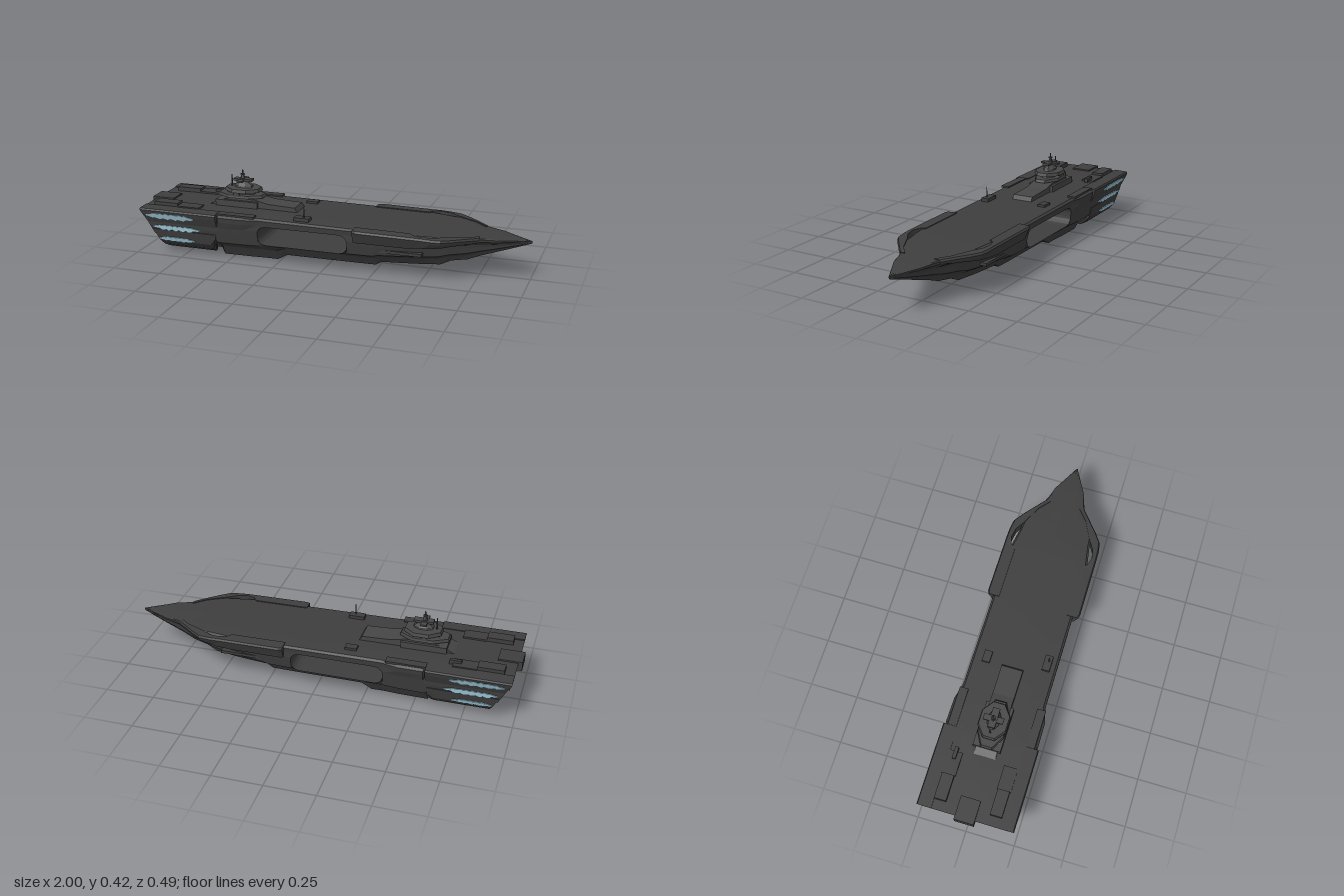
import * as THREE from 'three';

// piecewise-linear lookup in a short table of [key, value]
function look(table, k) {
  if (k <= table[0][0]) return table[0][1];
  for (let i = 1; i < table.length; i++) {
    const [a, va] = table[i - 1], [b, vb] = table[i];
    if (k <= b) return va + (vb - va) * (k - a) / (b - a);
  }
  return table[table.length - 1][1];
}

// stern leans forward toward the keel
const rake = (x, y) => x + Math.min(1, Math.max(0, (-0.72 - x) / 0.26)) * Math.max(0, 0.235 - y) * 0.5;

// skin closed rings of [z, y] placed at stations along x
function loft(stations, ringAt) {
  const pos = [], idx = [];
  const rings = stations.map(x => ringAt(x).map(([z, y]) => [rake(x, y), y, z]));
  const n = rings[0].length;
  rings.forEach(r => r.forEach(p => pos.push(...p)));
  for (let i = 0; i < rings.length - 1; i++) for (let j = 0; j < n; j++) {
    const a = i * n + j, b = i * n + (j + 1) % n;
    idx.push(a, b, a + n, b, b + n, a + n);
  }
  [0, rings.length - 1].forEach((r, end) => {
    const c = pos.length / 3, ring = rings[r];
    pos.push(...[0, 1, 2].map(k => ring.reduce((s, p) => s + p[k], 0) / n));
    for (let j = 0; j < n; j++) {
      const a = r * n + j, b = r * n + (j + 1) % n;
      if (end) idx.push(c, a, b); else idx.push(c, b, a);
    }
  });
  const g = new THREE.BufferGeometry();
  g.setAttribute('position', new THREE.Float32BufferAttribute(pos, 3));
  g.setIndex(idx);
  const flat = g.toNonIndexed();
  flat.computeVertexNormals();
  return flat;
}
const mirrored = half => [...half, ...half.slice(1, -1).reverse().map(([z, y]) => [-z, y])];
// ring on one side: s = 1 or -1
const sided = (ring, s) => s > 0 ? ring : ring.map(([z, y]) => [-z, y]).reverse();

// hull tables along x
const topY = [[-1, 0.24], [-0.6, 0.243], [-0.2, 0.24], [0.5, 0.234], [0.7, 0.226], [0.85, 0.216], [1, 0.2]];
const splitY = [[0.3, 0.1485], [0.62, 0.16], [0.8, 0.172], [1, 0.194]];
const deckW = [[-0.56, 0.222], [-0.55, 0.236], [-0.42, 0.234], [-0.34, 0.214], [0.15, 0.212], [0.46, 0.205],
  [0.58, 0.185], [0.64, 0.182], [0.7, 0.15], [0.77, 0.102], [0.85, 0.08], [0.95, 0.028], [1, 0.002]];
const lowW = [[-0.56, 0.22], [-0.4, 0.215], [-0.34, 0.206], [0.15, 0.205], [0.3, 0.2], [0.45, 0.18],
  [0.6, 0.14], [0.75, 0.085], [0.9, 0.04], [1, 0.002]];
const keelY = [[-0.575, 0.036], [-0.56, 0.002], [-0.27, 0.002], [-0.22, 0.03], [0.25, 0.032], [0.28, 0.05],
  [0.57, 0.06], [0.62, 0.083], [0.71, 0.094], [0.76, 0.115], [1, 0.188]];
// outer flank of the stern, z by height
const flank = [[0.018, 0.14], [0.04, 0.18], [0.07, 0.206], [0.11, 0.217], [0.1485, 0.221], [0.17, 0.222], [0.215, 0.24], [0.24, 0.245]];

// cross-ship bay with rounded corners: half height at x
const BAY0 = -0.345, BAY1 = 0.125, R = 0.04, HALF = 0.0485;
function bay(x) {
  const d = Math.min(x - BAY0, BAY1 - x);
  if (d < 0) return 0;
  return d < R ? HALF - R + Math.sqrt(R * R - (R - d) ** 2) : HALF;
}
const hullX = [-0.98, -0.9, -0.8, -0.72, -0.575, -0.56, -0.55, -0.42, BAY0 - 1e-4, BAY1 + 1e-4, 0.15, 0.25, 0.28, 0.38,
  0.46, 0.52, 0.57, 0.62, 0.64, 0.7, 0.76, 0.8, 0.85, 0.9, 0.95, 1, -0.27, -0.22, -0.1, 0];
for (const t of [0, 0.05, 0.2, 0.5, 1]) hullX.push(BAY0 + R * t, BAY1 - R * t);
hullX.sort((a, b) => a - b);

export function createModel() {
  const root = new THREE.Group();
  const paint = (name, color) => Object.assign(new THREE.MeshStandardMaterial({ color, flatShading: true }), { name });
  const hullGrey = paint('hull grey', 0x3e3e3e);
  const towerGrey = paint('tower grey', 0x464646);
  const glowBlue = paint('pale blue', 0x9cc6d6);

  function add(name, geo, mat = hullGrey, parent = root) {
    const m = new THREE.Mesh(geo, mat);
    m.name = name;
    parent.add(m);
    return m;
  }
  function box(name, x0, x1, y0, y1, z0, z1, mat = hullGrey, parent = root) {
    const m = add(name, new THREE.BoxGeometry(x1 - x0, y1 - y0, z1 - z0), mat, parent);
    m.position.set((x0 + x1) / 2, (y0 + y1) / 2, (z0 + z1) / 2);
    return m;
  }

  // upper hull and flight deck
  add('upperHull', loft(hullX, x => {
    const t = look(topY, x), m = look(splitY, x), b = m + bay(x), w = look(deckW, x), lw = look(lowW, x);
    const y = f => Math.max(b, m + (t - m) * f);
    return mirrored([[0, t], [w * 0.6, t - 0.001], [w * 0.95, t - 0.003], [w, y(0.86)], [w * 0.985, y(0.6)],
      [Math.min(w, lw + 0.004), y(0.25)], [Math.min(w, lw), b], [0, b]]);
  }));

  // lower hull with twin keels and a centre channel
  add('lowerHull', loft(hullX, x => {
    const m = look(splitY, x), t = m - bay(x), w = look(lowW, x), k = look(keelY, x);
    const c = Math.max(k, Math.min(0.05, m)), y = f => Math.min(t, k + (m - k) * f);
    return mirrored([[0, t], [w, t], [w * 0.95, y(0.6)], [w * 0.7, y(0.36)], [w * 0.57, k], [w * 0.34, k], [w * 0.23, c], [0, c]]);
  }));

  const rimOut = [[0.16, 0.238], [0.18, 0.245], [0.54, 0.243], [0.6, 0.234], [0.65, 0.2], [0.7, 0.16], [0.76, 0.112]];
  const rimIn = [[0.44, 0.18], [0.46, 0.205], [0.5, 0.217], [0.55, 0.208], [0.6, 0.178], [0.7, 0.13], [0.76, 0.08]];
  for (const s of [1, -1]) {
    const side = s > 0 ? 'left' : 'right';
    const name = s > 0 ? 'front' : 'back';

    // stern sponson
    add(name + 'SternSponson', loft([-0.98, -0.9, -0.8, -0.72, -0.56], x => sided(
      [[0.17, 0.244], [0.24, 0.242], [0.245, 0.234], [0.24, 0.215], [0.222, 0.17], [0.17, 0.17]], s)));

    // bow sponson, curving into the bow around a slot
    add(name + 'BowSponson', loft([0.16, 0.18, 0.3, 0.44, 0.46, 0.5, 0.55, 0.6, 0.65, 0.7, 0.76], x => {
      const o = look(rimOut, x), i = look(rimIn, x), t = look(topY, x);
      const b = x < 0.44 ? 0.172 : 0.172 + Math.min(1, (x - 0.44) / 0.2) * 0.02;
      const mid = Math.max(i + 0.008, o - 0.022);
      return sided([[i, t + 0.002], [o - 0.006, t], [o, t - 0.01], [o - 0.006, t - 0.024], [mid, b], [i, b]], s);
    }));

    // curved lower stern armour
    add(name + 'SternFin', loft([-0.97, -0.85, -0.72, -0.6, -0.57], x => {
      const ys = x > -0.58 ? [0.13, 0.11, 0.09, 0.07] : [0.13, 0.07, 0.04, 0.018];
      const ring = ys.map(y => [look(flank, y), y]);
      return sided([...ring, ...ring.slice().reverse().map(([z, y]) => [z - 0.016, y + 0.004])], s);
    }));

    // ragged light bands on the stern flank
    [[0.207, 0.017, -0.96, -0.68], [0.143, 0.014, -0.96, -0.65], [0.079, 0.014, -0.96, -0.69]].forEach(([y, h, x0, x1], k) => {
      const xs = Array.from({ length: 19 }, (_, i) => x0 + (x1 - x0) * i / 18);
      add(name + 'SternLight' + (k + 1), loft(xs, x => {
        const u = (x - x0) / (x1 - x0), e = Math.min(1, 0.2 + Math.min(u, 1 - u) * 4);
        const up = y + h * e * (0.85 + 0.2 * Math.sin(x * 171 + k)), dn = y - h * e * (0.8 + 0.25 * Math.sin(x * 133 + 2 * k));
        const zu = look(flank, up), zd = look(flank, dn);
        return sided([[zu - 0.004, up], [zu + 0.004, up], [zd + 0.004, dn], [zd - 0.004, dn]], s);
      }), glowBlue);
    });

    // deck edge plating and stern deck housings
    box(name + 'DeckEdge', -0.56, -0.36, 0.236, 0.247, s * 0.2 - 0.022, s * 0.2 + 0.022);
    box(name + 'SternHousing', -0.93, -0.8, 0.238, 0.262, s * 0.14 - 0.03, s * 0.14 + 0.03);
    box(name + 'SternHousingStep', -0.8, -0.68, 0.238, 0.25, s * 0.14 - 0.035, s * 0.14 + 0.035);
    box(name + 'HullRib', 0.13, 0.5, 0.125, 0.14, s * 0.17 - 0.025, s * 0.17 + 0.025);
  }

  // stern centre block and ledges across the transom
  box('sternBlock', -1, -0.88, 0.2, 0.248, -0.05, 0.05);
  box('transomLedge', -0.965, -0.88, 0.172, 0.182, -0.19, 0.19);
  box('transomLedgeLower', -0.925, -0.85, 0.108, 0.118, -0.18, 0.18);

  // command tower
  const tower = new THREE.Group();
  tower.name = 'commandTower';
  root.add(tower);
  const profile = new THREE.Shape([[-0.68, 0.235], [-0.62, 0.265], [-0.56, 0.284], [-0.42, 0.284], [-0.35, 0.268], [-0.2, 0.262],
    [-0.185, 0.235]].map(p => new THREE.Vector2(...p)).reverse());
  const base = new THREE.ExtrudeGeometry(profile, { depth: 0.11, bevelEnabled: false });
  base.translate(0, 0, -0.055);
  add('towerBase', base, towerGrey, tower);
  box('towerSkirt', -0.63, -0.4, 0.236, 0.274, -0.07, 0.07, towerGrey, tower);
  // eight-sided tier: centre x, length, width, heights, top taper
  function tier(name, cx, len, wid, y0, y1, taper) {
    const g = new THREE.CylinderGeometry(taper, 1, y1 - y0, 8);
    g.rotateY(Math.PI / 8).scale(len / 2 * 1.08, 1, wid / 2 * 1.08);
    add(name, g, towerGrey, tower).position.set(cx, (y0 + y1) / 2, 0);
  }
  tier('towerColumn', -0.51, 0.17, 0.085, 0.28, 0.322, 0.75);
  tier('lowerBridge', -0.51, 0.25, 0.136, 0.288, 0.302, 0.94);
  tier('upperBridgeFlare', -0.5, 0.15, 0.11, 0.312, 0.318, 1.25);
  tier('upperBridge', -0.5, 0.19, 0.146, 0.317, 0.334, 0.93);
  tier('towerNeck', -0.5, 0.1, 0.055, 0.33, 0.346, 0.8);
  tier('sensorDome', -0.5, 0.1, 0.062, 0.343, 0.365, 0.45);
  for (const s of [1, -1]) box('bridgeStrut', -0.53, -0.5, 0.296, 0.32, s * 0.063 - 0.003, s * 0.063 + 0.003, towerGrey, tower);
  box('sensorBar', -0.52, -0.49, 0.366, 0.375, -0.05, 0.05, towerGrey, tower);
  box('sensorBarRear', -0.55, -0.45, 0.366, 0.378, -0.018, 0.018, towerGrey, tower);
  tier('mastFoot', -0.505, 0.03, 0.022, 0.37, 0.4, 0.4);
  tier('mast', -0.505, 0.009, 0.007, 0.39, 0.424, 0.7);
  tier('mastCross', -0.505, 0.02, 0.02, 0.398, 0.404, 1);
  tier('rearMast', -0.565, 0.008, 0.008, 0.32, 0.395, 0.7);

  // deck antenna and small deck fittings
  const pole = add('deckAntenna', new THREE.CylinderGeometry(0.002, 0.004, 0.075, 6), towerGrey);
  pole.position.set(-0.11, 0.272, 0.165);
  box('antennaFoot', -0.16, -0.08, 0.236, 0.255, 0.14, 0.18);
  box('deckFitting', -0.2, -0.14, 0.236, 0.25, -0.16, -0.12);
  box('deckLocker', -0.72, -0.66, 0.236, 0.264, -0.148, -0.13);
  return root;
}
